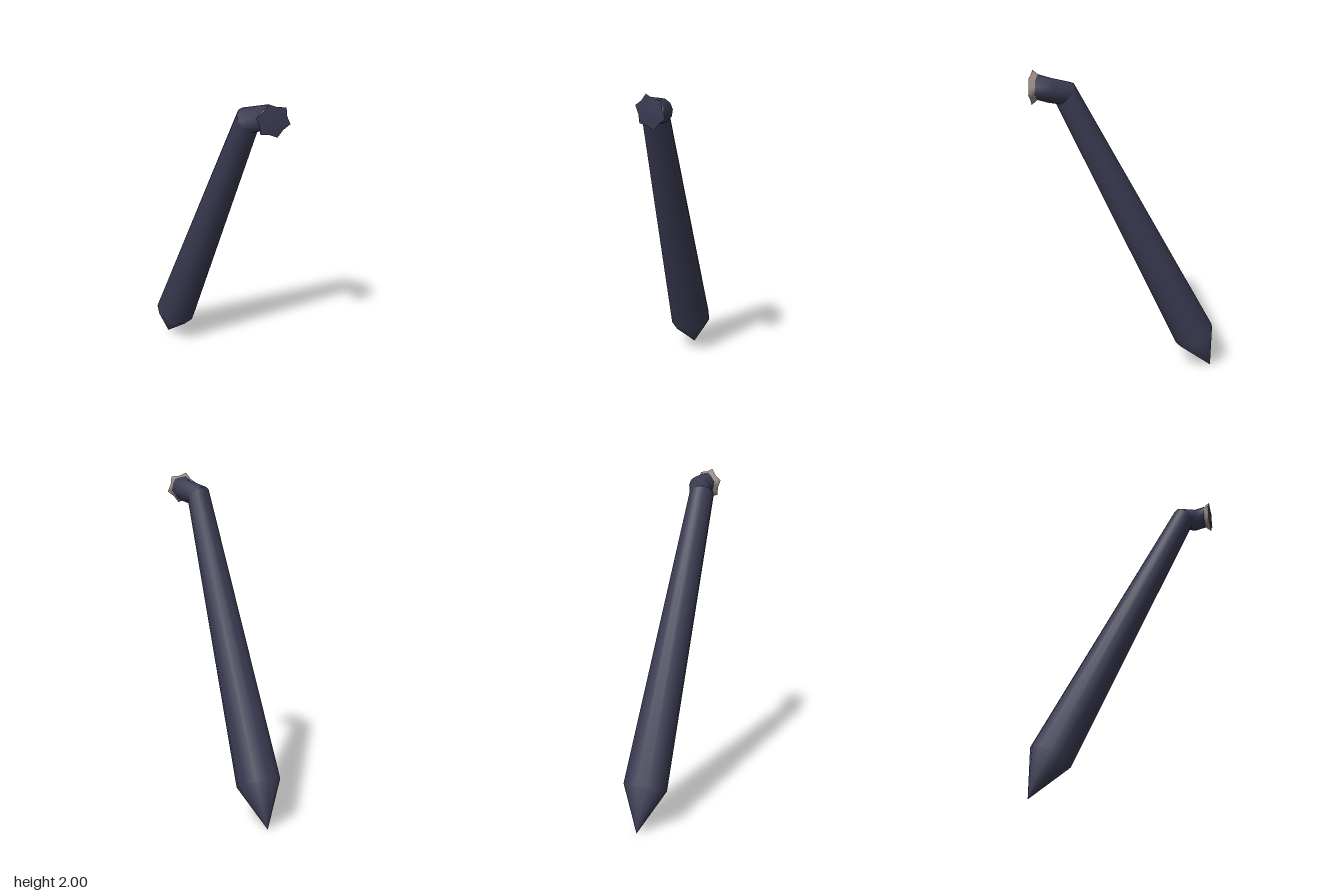
import * as THREE from 'three';

const SIDES = 12;

// One closed cross-section: a circle (or a six-lobed star) facing along a normal
function ring(center, normal, outer, inner = outer) {
  const n = new THREE.Vector3(...normal).normalize();
  const u = new THREE.Vector3(1, 0, 0);
  u.addScaledVector(n, -u.dot(n)).normalize();
  const v = n.clone().cross(u);
  const points = [];
  for (let k = 0; k < SIDES; k++) {
    const a = Math.PI / 12 + (k * Math.PI * 2) / SIDES;
    const r = k % 2 ? outer : inner;
    points.push(new THREE.Vector3(...center)
      .addScaledVector(u, r * Math.cos(a))
      .addScaledVector(v, r * Math.sin(a)));
  }
  return points;
}

// Smooth skin over successive cross-sections
function loft(rings) {
  const index = [];
  for (let i = 0; i < rings.length - 1; i++) {
    for (let k = 0; k < SIDES; k++) {
      const a = i * SIDES + k;
      const b = i * SIDES + ((k + 1) % SIDES);
      index.push(a, b, a + SIDES, b, b + SIDES, a + SIDES);
    }
  }
  const geometry = new THREE.BufferGeometry().setFromPoints(rings.flat());
  geometry.setIndex(index);
  geometry.computeVertexNormals();
  return geometry;
}

export function createModel() {
  const group = new THREE.Group();
  const dark = new THREE.MeshStandardMaterial({ color: 0x3a3b52, side: THREE.DoubleSide });
  dark.name = 'darkIndigo';
  const pale = new THREE.MeshStandardMaterial({ color: 0x9f8e89, side: THREE.DoubleSide });
  pale.name = 'paleTaupe';

  const add = (name, material, rings) => {
    const mesh = new THREE.Mesh(loft(rings), material);
    mesh.name = name;
    group.add(mesh);
  };

  const axis = [0.14, 0.9, 0.417];
  const front = [0, 0, 1];
  const joint = ring([0.1, 1.86, 0.35], [0.45, 0.68, 0.58], 0.075);
  const neckEnd = ring([0.185, 1.91, 0.483], front, 0.07, 0.064);
  const rim = ring([0.185, 1.907, 0.515], front, 0.096, 0.076);

  // Long tapering shaft with its pointed foot
  add('shaft', dark, [
    ring([-0.191, 0.002, -0.511], axis, 0.001),
    ring([-0.155, 0.243, -0.402], axis, 0.129),
    joint,
  ]);

  // Bent neck turning to the front
  add('neck', dark, [
    joint,
    ring([0.18, 1.893, 0.418], [0.37, 0.23, 0.9], 0.068),
    neckEnd,
  ]);

  // Flared star-shaped collar and its shallow cap
  add('collar', pale, [neckEnd, rim]);
  add('cap', dark, [
    rim,
    ring([0.185, 1.907, 0.519], front, 0.05, 0.045),
    ring([0.185, 1.907, 0.521], front, 0.001),
  ]);

  return group;
}
